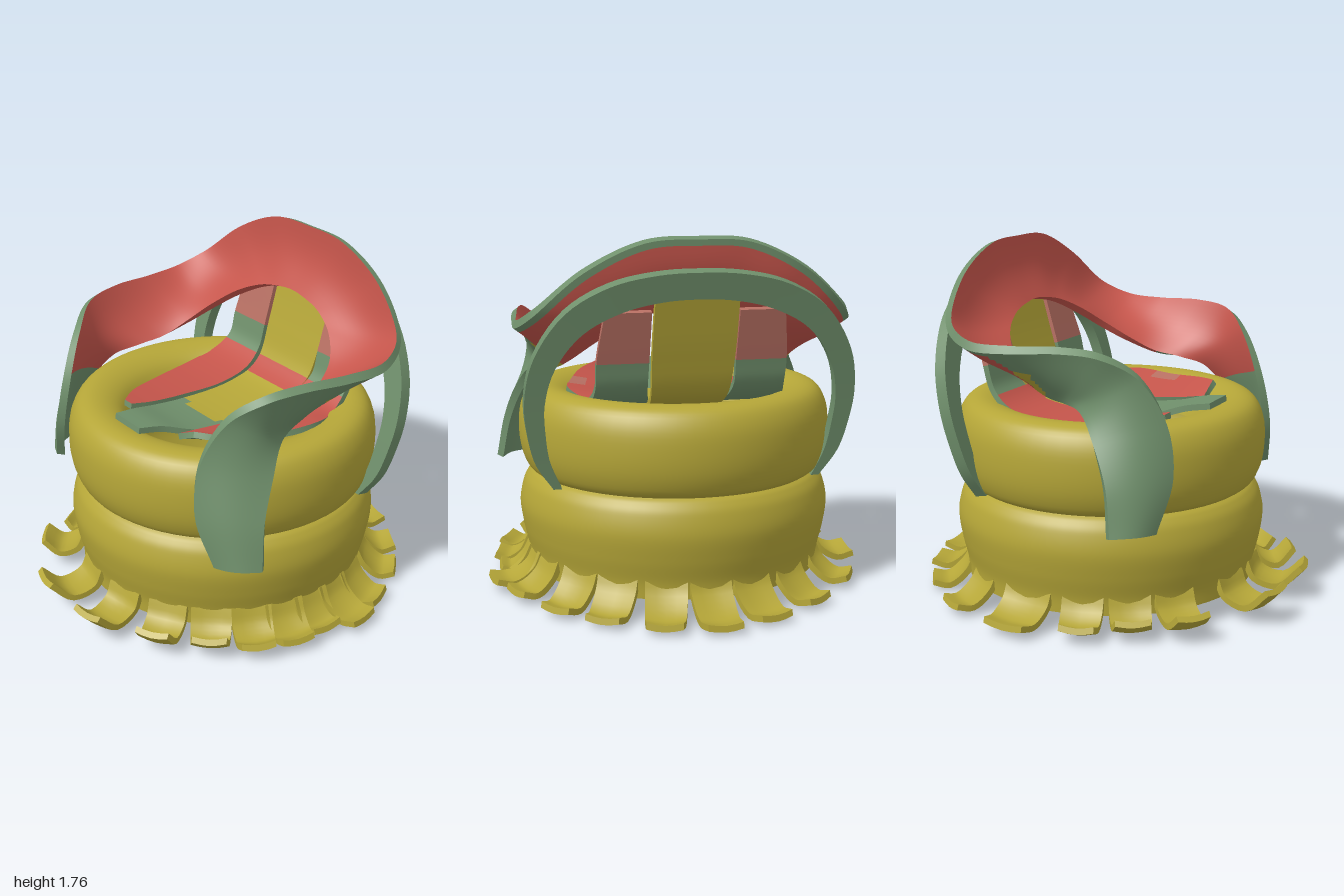
import * as THREE from 'three';
import { mergeVertices } from 'three/addons/utils/BufferGeometryUtils.js';

const V = (x, y, z) => new THREE.Vector3(x, y, z);

function makeMaterial(name, color) {
  const m = new THREE.MeshStandardMaterial({ color, side: THREE.DoubleSide });
  m.name = name;
  return m;
}

// Thick curved sheet between two edge curves; paint(face, t, v) picks the colour.
function sheet(name, edgeA, edgeB, thick, paint, { nt = 40, nv = 8, bow = 0 } = {}) {
  const a = new THREE.CatmullRomCurve3(edgeA), b = new THREE.CatmullRomCurve3(edgeB);
  const mid = [], front = [], back = [];
  for (let i = 0; i <= nt; i++) {
    const p = a.getPoint(i / nt), q = b.getPoint(i / nt);
    mid.push(Array.from({ length: nv + 1 }, (_, j) => p.clone().lerp(q, j / nv)));
  }
  for (let i = 0; i <= nt; i++) {
    front.push([]); back.push([]);
    for (let j = 0; j <= nv; j++) {
      const along = mid[Math.min(i + 1, nt)][j].clone().sub(mid[Math.max(i - 1, 0)][j]);
      const across = mid[i][nv].clone().sub(mid[i][0]);
      const n = along.cross(across).normalize();
      const lift = -bow * Math.sin(Math.PI * j / nv);
      front[i].push(mid[i][j].clone().addScaledVector(n, lift + thick / 2));
      back[i].push(mid[i][j].clone().addScaledVector(n, lift - thick / 2));
    }
  }
  const buckets = new Map();
  const quad = (face, t, v, p, q, r, s) => {
    const mat = paint(face, t, v), key = face + mat.name;
    if (!buckets.has(key)) buckets.set(key, { face, mat, pos: [] });
    for (const c of [p, q, r, p, r, s]) buckets.get(key).pos.push(c.x, c.y, c.z);
  };
  const T = edgeA.length - 1;
  for (let i = 0; i < nt; i++) {
    const t = (i + 0.5) / nt * T;
    for (let j = 0; j < nv; j++) {
      const v = (j + 0.5) / nv;
      quad('front', t, v, front[i][j], front[i + 1][j], front[i + 1][j + 1], front[i][j + 1]);
      quad('back', t, v, back[i][j], back[i][j + 1], back[i + 1][j + 1], back[i + 1][j]);
    }
    quad('rim', t, 0, front[i][0], back[i][0], back[i + 1][0], front[i + 1][0]);
    quad('rim', t, 1, front[i][nv], front[i + 1][nv], back[i + 1][nv], back[i][nv]);
  }
  for (let j = 0; j < nv; j++) {
    quad('end', 0, 0.5, front[0][j], front[0][j + 1], back[0][j + 1], back[0][j]);
    quad('end', T, 0.5, front[nt][j], back[nt][j], back[nt][j + 1], front[nt][j + 1]);
  }
  const group = new THREE.Group();
  group.name = name;
  for (const { face, mat, pos } of buckets.values()) {
    let g = new THREE.BufferGeometry();
    g.setAttribute('position', new THREE.Float32BufferAttribute(pos, 3));
    g = mergeVertices(g, 1e-5);
    g.computeVertexNormals();
    const mesh = new THREE.Mesh(g, mat);
    mesh.name = `${name} ${face}`;
    group.add(mesh);
  }
  return group;
}

// Continue a half path (ending on z = 0) to its mirrored other half.
const mirrored = half => [...half, ...half.slice(0, -1).reverse().map(p => V(p.x, p.y, -p.z))];

export function createModel() {
  const model = new THREE.Group();
  model.name = 'tyreArmchair';
  const yellow = makeMaterial('mustard yellow', 0xb5a638);
  const green = makeMaterial('sage green', 0x70906c);
  const red = makeMaterial('brick red', 0xc5554b);
  const dusty = makeMaterial('dusty red', 0xb87063);

  // Two stacked tyre shells, open inside
  const tyre = (name, profile) => {
    const curve = new THREE.SplineCurve(profile.map(p => new THREE.Vector2(...p)));
    const mesh = new THREE.Mesh(new THREE.LatheGeometry(curve.getPoints(40), 64), yellow);
    mesh.name = name;
    mesh.position.set(0.01, 0, -0.01);
    model.add(mesh);
  };
  tyre('lowerTyre', [[0.74, 0.09], [0.745, 0.17], [0.77, 0.28], [0.785, 0.4],
    [0.765, 0.5], [0.735, 0.55], [0.71, 0.57]]);
  tyre('upperTyre', [[0.71, 0.57], [0.745, 0.6], [0.775, 0.68], [0.785, 0.78],
    [0.775, 0.89], [0.735, 0.97], [0.67, 1.0], [0.59, 0.99], [0.52, 0.95], [0.47, 0.88], [0.44, 0.82]]);

  // Curled tabs around the foot: angle in degrees, tip radius
  const tabs = [[-2, 1], [-18, 0.97], [14, 0.97], [32, 0.94], [48, 0.93], [67, 0.92], [80, 0.95],
    [92, 0.88], [104, 0.91], [117, 0.92], [132, 0.9], [149, 0.94], [169, 1], [191, 1], [219, 0.95],
    [236, 0.88], [253, 0.9], [275, 0.95], [300, 0.94], [323, 0.94]];
  for (const [deg, tip] of tabs) {
    const a = deg * Math.PI / 180, c = Math.cos(a), s = Math.sin(a);
    const raise = 0.025 + 0.09 * Math.max(0, -c) ** 2, base = 0.045 - 0.025 * c;
    const wide = deg === 275 ? 0.125 : 0.095;
    const path = [[0.725, 0.19, 1.05], [0.765, 0.11, 1.05],
      [(tip + 0.775) / 2, base + 0.01, 1], [tip, base + raise, 0.88]];
    const edge = side => path.map(([r, y, w]) =>
      V(c * r - s * side * wide * w, y, s * r + c * side * wide * w));
    model.add(sheet('footTab', edge(1), edge(-1), 0.03, () => yellow, { nt: 12, nv: 4, bow: 0.012 }));
  }

  // Wrap-around arms and back: outer edge and inner edge of one half
  const outer = [[-.57, .54, .67], [-.61, .78, .58], [-.57, 1.03, .56], [-.46, 1.24, .62],
    [-.32, 1.34, .72], [-.13, 1.36, .77], [.11, 1.345, .8], [.33, 1.35, .81], [.475, 1.42, .745],
    [.555, 1.61, .53], [.575, 1.74, .25], [.58, 1.755, 0]];
  const inner = [[-.42, .54, .84], [-.38, .76, .8], [-.29, .94, .74], [-.2, 1.05, .67],
    [-.09, 1.08, .61], [.04, 1.1, .57], [.18, 1.16, .53], [.31, 1.24, .47], [.4, 1.33, .36],
    [.45, 1.4, .22], [.465, 1.43, .1], [.47, 1.44, 0]];
  const toPath = pts => mirrored(pts.map(p => V(...p)));
  const paintBand = (face, t, v) => {
    const u = Math.min(t, 22 - t);
    if (face === 'front') return u > 2.1 ? red : green;
    if (face === 'rim') return v === 1 && u > 5 ? red : green;
    if (face === 'end' || v < 0.1) return green;
    const start = 5.4 + 1.2 * (1 - v);
    return u > start ? red : u > start - 0.5 && v > 0.45 ? yellow : green;
  };
  model.add(sheet('armsAndBack', toPath(outer), toPath(inner), 0.042, paintBand,
    { nt: 176, nv: 12, bow: 0.03 }));

  // Leaning hoop that supports the back, tapering at its feet
  const hoop = pts => mirrored(pts.map(([z, y]) => {
    const h = y - 0.57;
    return V(0.38 + h * 0.2 + h * h * 0.032, y, z);
  }));
  model.add(sheet('backHoop',
    hoop([[.66, .57], [.745, .7], [.785, .85], [.8, 1.02], [.76, 1.22], [.62, 1.43], [.42, 1.55], [.2, 1.6], [0, 1.61]]),
    hoop([[.62, .57], [.675, .7], [.7, .85], [.705, 1.0], [.66, 1.17], [.54, 1.33], [.36, 1.43], [.17, 1.475], [0, 1.485]]),
    0.06, () => green, { nt: 80, nv: 3 }));

  // Centre slat: seat bending up into the backrest (x, y, half width)
  const centre = [[-.58, 1.01, .1], [-.46, .99, .12], [-.3, .94, .17], [-.1, .91, .19], [.2, .92, .19],
    [.32, .95, .18], [.42, 1.02, .19], [.49, 1.2, .2], [.575, 1.5, .2]];
  const centreEdge = s => centre.map(([x, y, w]) => V(x, y, s * w));
  model.add(sheet('centreSlat', centreEdge(1), centreEdge(-1), 0.03, (face, t, v) =>
    t < 2.7 + 0.7 * Math.abs(v - 0.5) ? green
      : face === 'front' && t > 4.95 && t < 6.1 ? red : yellow, { nv: 6 }));

  // Side slats, tapered at the front (x, y, near z, far z); the left one is wider
  const side = [[-.42, .97, .2, .26], [-.3, .95, .19, .36], [-.1, .93, .19, .44], [.15, .93, .18, .49],
    [.33, .97, .19, .48], [.43, 1.05, .21, .46], [.47, 1.18, .21, .46], [.54, 1.42, .21, .43]];
  const near = s => side.map(([x, y, z]) => V(x, y, s * z));
  const far = (s, extra) => side.map(([x, y, , z]) => V(x, y + (x < 0.3 ? extra : 0), s * (z + (x < 0.3 ? extra : 0))));
  const paintSide = (face, t) =>
    t > 6 ? dusty : face === 'front' && t < 4.7 ? red : green;
  const paintLeft = (face, t, v) =>
    face === 'front' && t > 1.7 && t < 2.4 && v < 0.26 ? dusty : paintSide(face, t);
  model.add(sheet('leftSideSlat', far(1, 0.06), near(1), 0.03, paintLeft, { nv: 4 }));
  model.add(sheet('rightSideSlat', near(-1), far(-1, 0), 0.03, paintSide, { nv: 4 }));

  return model;
}
